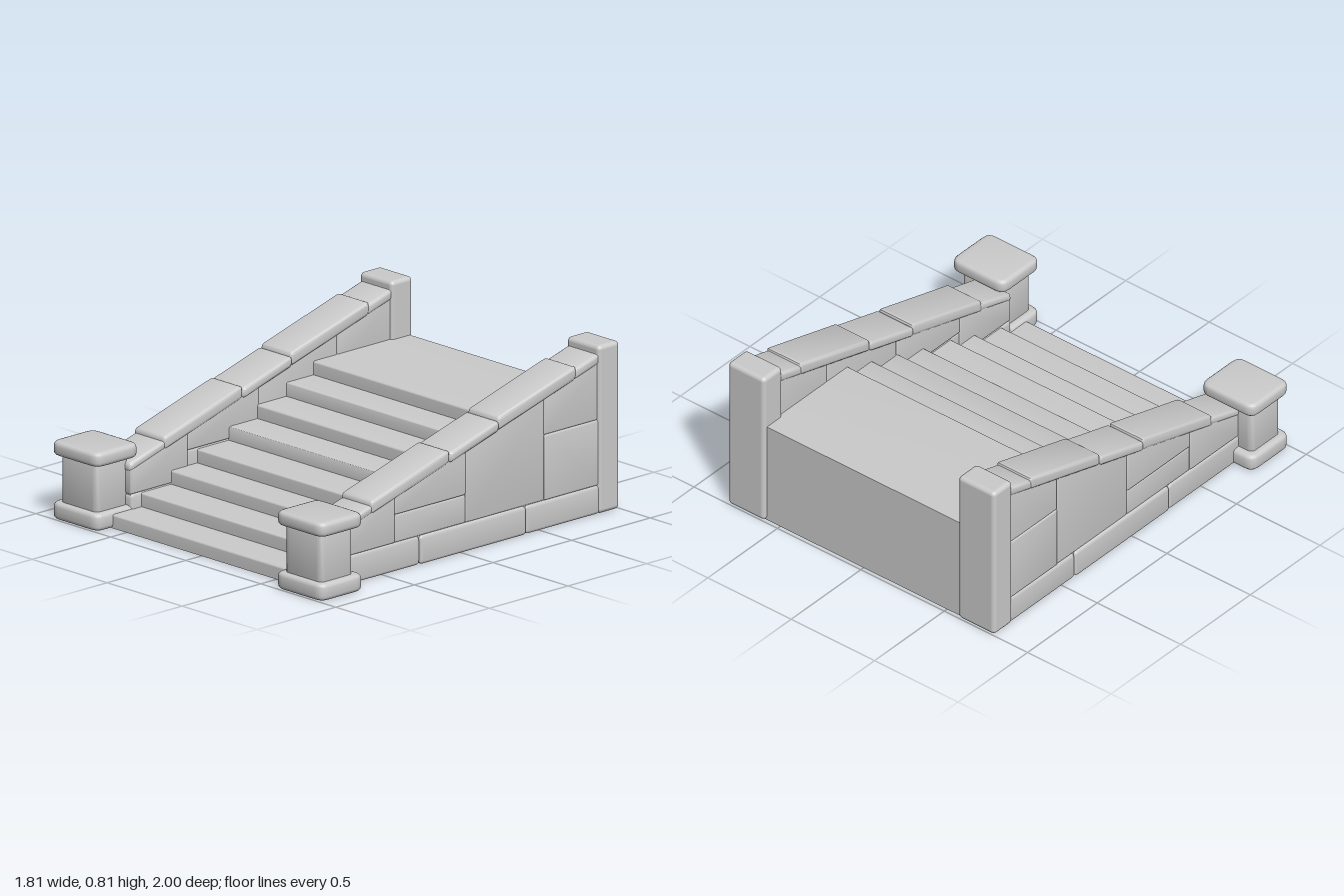
import * as THREE from 'three';
import { toCreasedNormals } from 'three/addons/utils/BufferGeometryUtils.js';
import { RoundedBoxGeometry } from 'three/addons/geometries/RoundedBoxGeometry.js';

const material = new THREE.MeshStandardMaterial({ color: 0xcccccc });

// Polygon [[u, v, cornerRadius?], ...] with rounded corners
function roundedShape(points, radius) {
  const shape = new THREE.Shape();
  const n = points.length;
  const vec = (p) => new THREE.Vector2(p[0], p[1]);
  points.forEach((p, i) => {
    const c = vec(p), a = vec(points[(i + n - 1) % n]), b = vec(points[(i + 1) % n]);
    const r = p[2] ?? radius;
    const start = c.clone().add(a.sub(c).setLength(r));
    const end = c.clone().add(b.sub(c).setLength(r));
    if (i === 0) shape.moveTo(start.x, start.y);
    else shape.lineTo(start.x, start.y);
    if (r > 0) shape.quadraticCurveTo(c.x, c.y, end.x, end.y);
  });
  shape.closePath();
  return shape;
}

// Extrusion from 0 to depth whose end edges are softened within its outline
function softExtrude(shape, depth, bevel) {
  const geometry = new THREE.ExtrudeGeometry(shape, {
    depth: depth - 2 * bevel, curveSegments: 4,
    bevelEnabled: bevel > 0, bevelThickness: bevel, bevelSize: bevel, bevelOffset: -bevel, bevelSegments: 3,
  });
  geometry.translate(0, 0, bevel);
  return toCreasedNormals(geometry, 0.6);
}

function add(parent, name, geometry, x = 0, y = 0, z = 0) {
  const mesh = new THREE.Mesh(geometry, material);
  mesh.name = name;
  mesh.position.set(x, y, z);
  parent.add(mesh);
  return mesh;
}

// Side profile [[z, y], ...] extruded along x, centred on cx
function addProfile(parent, name, profile, cx, width, radius, bevel) {
  const shape = roundedShape(profile.map(([z, y, r]) => [-z, y, r]), radius);
  const geometry = softExtrude(shape, width, bevel);
  geometry.translate(0, 0, -width / 2).rotateY(Math.PI / 2);
  return add(parent, name, geometry, cx);
}

// Upright slab with rounded plan corners, standing on y0
function addSlab(parent, name, cx, cz, width, depth, y0, height, radius, bevel) {
  const w = width / 2, d = depth / 2;
  const shape = roundedShape([[-w, -d], [w, -d], [w, d], [-w, d]], radius);
  const geometry = softExtrude(shape, height, bevel).rotateX(-Math.PI / 2);
  return add(parent, name, geometry, cx, y0, cz);
}

// Height of the sloping wall top under the coping
const slopeY = (z) => 0.475 - 0.287 * z;

function createSide(s) {
  const side = new THREE.Group();
  side.name = s > 0 ? 'leftBalustrade' : 'rightBalustrade';
  const cx = s * 0.69;

  // Recessed core closing the joints between stones
  addProfile(side, 'wallCore', [[0.78, 0.01], [-0.9, 0.01], [-0.9, slopeY(-0.9)], [0.78, slopeY(0.78)]],
    cx, 0.18, 0, 0);

  // Base course
  [[0.785, 0.265], [0.265, -0.41], [-0.41, -0.88]].forEach(([z0, z1], i) => {
    addProfile(side, 'baseStone', [[z0, 0], [z1, 0], [z1, 0.137], [z0, 0.137]],
      cx, i === 1 ? 0.212 : 0.204, 0.02, 0.014);
  });

  // Wall stones: z range, bottom, top (null follows the slope)
  [
    [0.785, 0.42, 0.137, null], [0.42, -0.03, 0.137, 0.272], [0.42, -0.03, 0.272, null],
    [-0.03, -0.53, 0.137, null], [-0.53, -0.88, 0.137, 0.452], [-0.53, -0.88, 0.452, null],
  ].forEach(([z0, z1, low, top], i) => {
    addProfile(side, 'wallStone',
      [[z0, low], [z1, low], [z1, top ?? slopeY(z1) + 0.01], [z0, top ?? slopeY(z0) + 0.01]],
      cx, i % 2 ? 0.192 : 0.198, 0.01, 0.008);
  });

  // Sloping coping stones, alternately raised and lowered
  [
    [0.79, 0.56, 0.038, 0.2], [0.575, 0.075, 0.058, 0.208], [0.08, -0.235, 0.046, 0.22],
    [-0.23, -0.73, 0.06, 0.208], [-0.715, -0.88, 0.046, 0.204],
  ].forEach(([z0, z1, t, width]) => {
    addProfile(side, 'copingStone', [
      [z0, slopeY(z0) - 0.005], [z1, slopeY(z1) - 0.005], [z1, slopeY(z1) + t], [z0, slopeY(z0) + t],
    ], cx, width, 0.02, 0.016);
  });

  // Tall post at the back
  add(side, 'backPost', new RoundedBoxGeometry(0.22, 0.81, 0.135, 3, 0.022), cx, 0.405, -0.9325);

  // Front pedestal
  const px = s * 0.748;
  addSlab(side, 'pedestalBase', px, 0.863, 0.315, 0.274, 0, 0.082, 0.05, 0.02);
  addSlab(side, 'pedestalShaft', px, 0.867, 0.245, 0.205, 0.06, 0.27, 0.03, 0.005);
  addSlab(side, 'pedestalCap', px, 0.863, 0.315, 0.274, 0.307, 0.068, 0.05, 0.02);
  return side;
}

export function createModel() {
  const model = new THREE.Group();
  model.name = 'stoneStaircase';

  // Solid flight of eight steps ending in a landing
  const fronts = [0.9, 0.72, 0.528, 0.36, 0.16, -0.02, -0.207, -0.38];
  const profile = [[-0.98, 0, 0], [fronts[0], 0, 0]];
  fronts.forEach((z, i) => {
    const y = (i + 1) * 0.0663;
    profile.push([z, y, 0.01], [fronts[i + 1] ?? -0.98, y, 0]);
  });
  addProfile(model, 'steps', profile, 0, 1.2, 0, 0);

  model.add(createSide(1), createSide(-1));
  return model;
}
